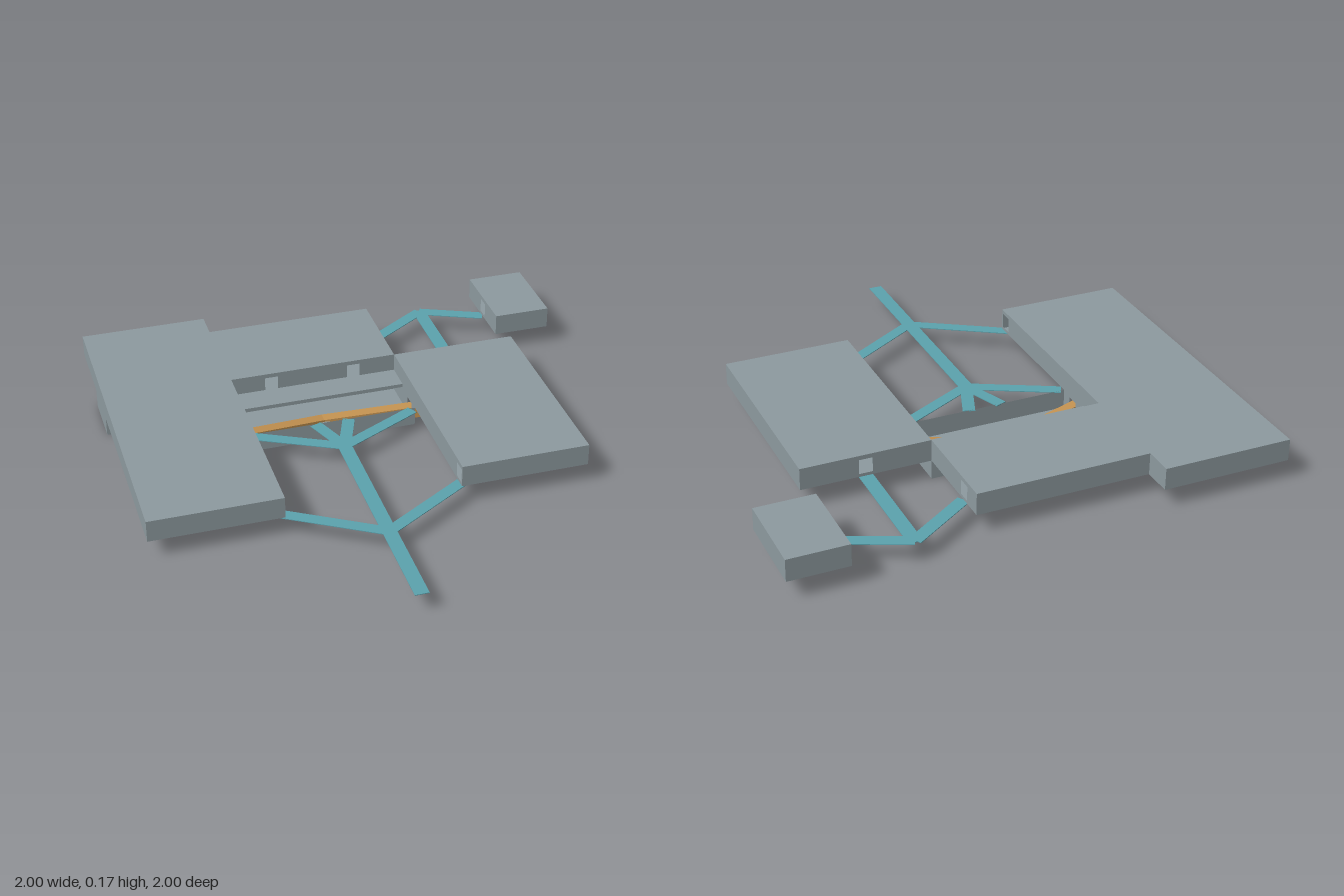
import * as THREE from 'three';

const stone = new THREE.MeshStandardMaterial({ color: 0x8d9a9f, side: THREE.DoubleSide });
stone.name = 'greyStone';
const teal = new THREE.MeshStandardMaterial({ color: 0x5ba2ad });
teal.name = 'tealPath';
const ochre = new THREE.MeshStandardMaterial({ color: 0xc29150 });
ochre.name = 'ochreRamp';

const LOW = 0.08, HIGH = 0.17, DOOR = 0.055;

function add(parent, name, geometry, material) {
  const mesh = new THREE.Mesh(geometry, material);
  mesh.name = name;
  parent.add(mesh);
  return mesh;
}

// Hollow room: outline of [x, z] corners, doors as [x, z] points lying on a wall
function room(parent, name, outline, y0, y1, doors = [], roofed = true) {
  const group = new THREE.Group();
  group.name = name;
  parent.add(group);
  const plan = new THREE.Shape(outline.map(([x, z]) => new THREE.Vector2(x, z)));
  const cap = new THREE.ShapeGeometry(plan).rotateX(Math.PI / 2);
  add(group, 'floor', cap, stone).position.y = y0;
  if (roofed) add(group, 'roof', cap, stone).position.y = y1;

  outline.forEach(([ax, az], i) => {
    const [bx, bz] = outline[(i + 1) % outline.length];
    const dx = bx - ax, dz = bz - az, len = Math.hypot(dx, dz);
    const wall = new THREE.Shape([[0, y0], [len, y0], [len, y1], [0, y1]]
      .map(([s, y]) => new THREE.Vector2(s, y)));
    for (const [x, z] of doors) {
      const s = ((x - ax) * dx + (z - az) * dz) / len;
      const off = Math.abs((x - ax) * dz - (z - az) * dx) / len;
      if (off > 0.001 || s < DOOR / 2 || s > len - DOOR / 2) continue;
      const l = s - DOOR / 2, r = s + DOOR / 2, b = y0 + 0.012, t = y0 + 0.072;
      wall.holes.push(new THREE.Path([[l, b], [l, t], [r, t], [r, b]]
        .map(([u, y]) => new THREE.Vector2(u, y))));
    }
    const mesh = add(group, 'wall', new THREE.ShapeGeometry(wall), stone);
    mesh.position.set(ax, 0, az);
    mesh.rotation.y = -Math.atan2(dz, dx);
  });
}

const rect = (x0, x1, z0, z1) => [[x0, z0], [x1, z0], [x1, z1], [x0, z1]];

// Thin straight walkway between two plan points
function path(parent, [ax, az], [bx, bz], width = 0.056) {
  const len = Math.hypot(bx - ax, bz - az);
  const mesh = add(parent, 'walkway', new THREE.BoxGeometry(len, 0.003, width), teal);
  mesh.position.set((ax + bx) / 2, LOW - 0.002, (az + bz) / 2);
  mesh.rotation.y = -Math.atan2(bz - az, bx - ax);
}

// Bent ramp, high at both ends and low at the middle
function bentRamp() {
  const half = 0.61;
  const g = new THREE.BoxGeometry(half * 2, 1, 0.045, 2, 1, 1);
  const p = g.attributes.position;
  for (let i = 0; i < p.count; i++) {
    const t = Math.abs(p.getX(i)) / half;
    p.setY(i, p.getY(i) > 0 ? 0.01 + 0.069 * t : 0.002);
    p.setZ(i, p.getZ(i) - 0.325 + 0.127 * t);
  }
  const flat = g.toNonIndexed();
  flat.computeVertexNormals();
  return flat.translate(-0.12, 0, 0);
}

export function createModel() {
  const model = new THREE.Group();
  model.name = 'floorComplex';

  // Upper storey rooms
  room(model, 'mainHall', [[-1, -1], [-0.47, -1], [-0.47, -0.88], [0.235, -0.88],
    [0.235, -0.47], [-0.47, -0.47], [-0.47, 0.41], [-1, 0.41]], LOW, HIGH,
    [[-0.47, 0.375], [0.235, -0.77], [-0.3, -0.47], [0.055, -0.47]]);
  room(model, 'sideHall', rect(0.235, 0.76, -0.47, 0.41), LOW, HIGH,
    [[0.235, 0.375], [0.5, -0.47]]);
  room(model, 'smallRoom', rect(0.76, 1, -1, -0.65), LOW, HIGH, [[0.76, -0.82]]);

  // Sunken court with a balcony above its back edge
  room(model, 'sunkenCourt', rect(-0.47, 0.235, -0.47, -0.18), 0, LOW,
    [[-0.47, -0.255], [0.235, -0.255]], false);
  const balcony = add(model, 'balcony', new THREE.BoxGeometry(0.705, 0.015, 0.12), stone);
  balcony.position.set(-0.1175, 0.0875, -0.41);

  // Cellar and ramps of the lower storey
  room(model, 'cellar', rect(-1, -0.735, -0.7, -0.47), 0, LOW - 0.001, [[-0.735, -0.498]]);
  add(model, 'bentRamp', bentRamp(), ochre);
  const step = add(model, 'cellarRamp', new THREE.BoxGeometry(0.055, 0.078, 0.03), ochre);
  step.position.set(-0.775, 0.04, -0.715);

  // Front walkways: trunk, fork to both halls, fan to the court
  const walks = new THREE.Group();
  walks.name = 'walkways';
  model.add(walks);
  const mid = -0.12, fan = [mid, 0.005];
  path(walks, [mid, -0.01], [mid, 1]);
  for (const s of [-1, 1]) {
    path(walks, [mid, 0.605], [mid + s * 0.365, 0.38], 0.05);
    path(walks, fan, [mid + s * 0.34, -0.17], 0.05);
    path(walks, fan, [mid + s * 0.07, -0.18], 0.05);
  }

  // Rear walkways to the small room
  path(walks, [0.5, -0.95], [0.5, -0.47]);
  path(walks, [0.5, -0.94], [0.235, -0.765], 0.052);
  path(walks, [0.5, -0.94], [0.76, -0.825], 0.052);
  return model;
}
